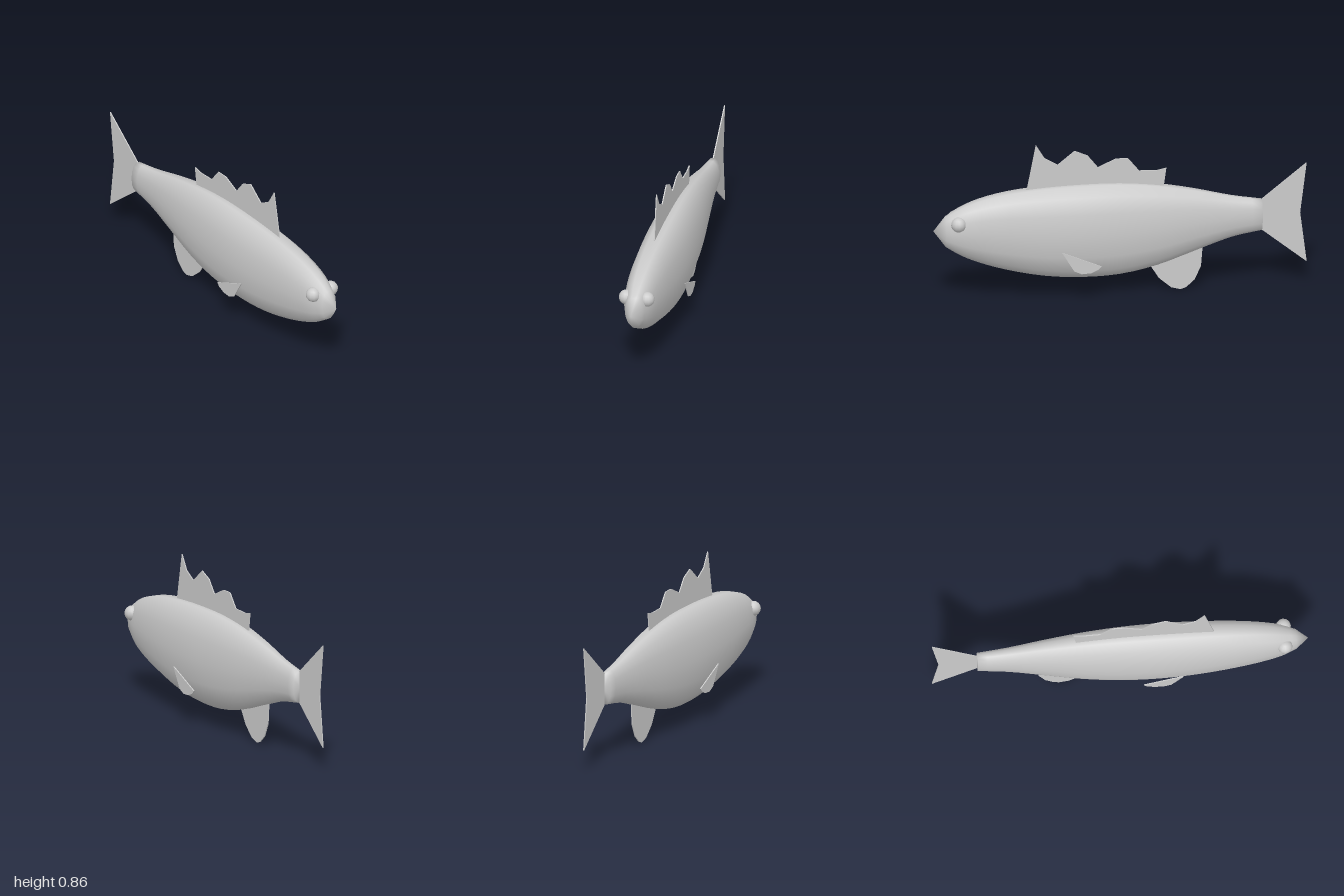
import * as THREE from 'three';

const grey = new THREE.MeshStandardMaterial({ color: 0xcccccc });
const greyThin = new THREE.MeshStandardMaterial({ color: 0xcccccc, side: THREE.DoubleSide });

// body stations: x, top, bottom, half width
const stations = [
  [-0.76, 0.485, 0.315, 0.04], [-0.6, 0.512, 0.287, 0.053], [-0.4, 0.56, 0.222, 0.077],
  [-0.2, 0.597, 0.155, 0.1], [0, 0.618, 0.116, 0.115], [0.2, 0.621, 0.11, 0.122],
  [0.4, 0.614, 0.127, 0.118], [0.6, 0.595, 0.17, 0.106], [0.75, 0.563, 0.218, 0.09],
  [0.85, 0.525, 0.262, 0.073], [0.93, 0.478, 0.312, 0.046],
];
// quarter of the 14-sided cross-section: side, height
const quarter = [[1, 0], [0.91, 0.47], [0.66, 0.81], [0.27, 1]];

function crossSection() {
  const upper = [...quarter, ...quarter.slice().reverse().map(([a, b]) => [-a, b])];
  const lower = upper.slice(1, -1).reverse().map(([a, b]) => [a, -b]);
  return [...upper, ...lower];
}

function bodyGeometry() {
  const ring = crossSection();
  const n = ring.length;
  const topLine = new THREE.CatmullRomCurve3(stations.map(([x, t, , w]) => new THREE.Vector3(x, t, w)));
  const bottomLine = new THREE.CatmullRomCurve3(stations.map(([x, , b]) => new THREE.Vector3(x, b, 0)));
  const steps = (stations.length - 1) * 3;
  const position = [];
  const index = [];
  for (let i = 0; i <= steps; i++) {
    const p = topLine.getPoint(i / steps);
    const q = bottomLine.getPoint(i / steps);
    for (const [a, b] of ring) {
      position.push(p.x, (p.y + q.y) / 2 + (b * (p.y - q.y)) / 2, a * p.z);
    }
  }
  for (let i = 0; i < steps; i++) {
    for (let j = 0; j < n; j++) {
      const a = i * n + j;
      const b = i * n + ((j + 1) % n);
      index.push(a, a + n, b, b, a + n, b + n);
    }
  }
  // pointed snout and closed tail end
  const tip = position.length / 3;
  position.push(0.995, 0.4, 0, -0.76, 0.4, 0);
  for (let j = 0; j < n; j++) {
    const k = (j + 1) % n;
    index.push(steps * n + j, tip, steps * n + k);
    index.push(j, k, tip + 1);
  }
  const geometry = new THREE.BufferGeometry();
  geometry.setAttribute('position', new THREE.Float32BufferAttribute(position, 3));
  geometry.setIndex(index);
  geometry.computeVertexNormals();
  return geometry;
}

// thin flat plate in the side plane, centred on z
function fin(name, points, z = 0) {
  const depth = 0.006;
  const shape = new THREE.Shape(points.map(([x, y]) => new THREE.Vector2(x, y)));
  const geometry = new THREE.ExtrudeGeometry(shape, { depth, bevelEnabled: false });
  const mesh = new THREE.Mesh(geometry, greyThin);
  mesh.name = name;
  mesh.position.z = z - depth / 2;
  return mesh;
}

export function createModel() {
  const fish = new THREE.Group();
  fish.name = 'fish';

  const body = new THREE.Mesh(bodyGeometry(), grey);
  body.name = 'body';
  fish.add(body);

  fish.add(fin('tailFin', [[-1, 0.68], [-0.965, 0.4], [-1, 0.12], [-0.755, 0.317], [-0.755, 0.483]]));

  fish.add(fin('dorsalFin', [
    [-0.235, 0.58], [-0.25, 0.69], [-0.2, 0.68], [-0.105, 0.683], [-0.045, 0.757], [0.02, 0.757],
    [0.115, 0.714], [0.17, 0.783], [0.24, 0.813], [0.33, 0.74], [0.4, 0.78], [0.447, 0.858], [0.497, 0.6],
  ]));

  fish.add(fin('bellyFin', [
    [-0.445, 0.25], [-0.435, 0.125], [-0.4, 0.05], [-0.355, 0.01], [-0.325, 0], [-0.275, 0.014],
    [-0.21, 0.07], [-0.16, 0.15], [-0.2, 0.18],
  ]));

  // paired side fins and eyes
  for (const [side, s] of [['left', -1], ['right', 1]]) {
    fish.add(fin(`${side}SideFin`, [
      [0.115, 0.2], [0.13, 0.183], [0.17, 0.165], [0.22, 0.162], [0.26, 0.18], [0.325, 0.288],
    ], s * 0.125));

    const eye = new THREE.Mesh(new THREE.SphereGeometry(0.04, 12, 8), grey);
    eye.name = `${side}Eye`;
    eye.position.set(0.868, 0.45, s * 0.057);
    fish.add(eye);
  }
  return fish;
}
